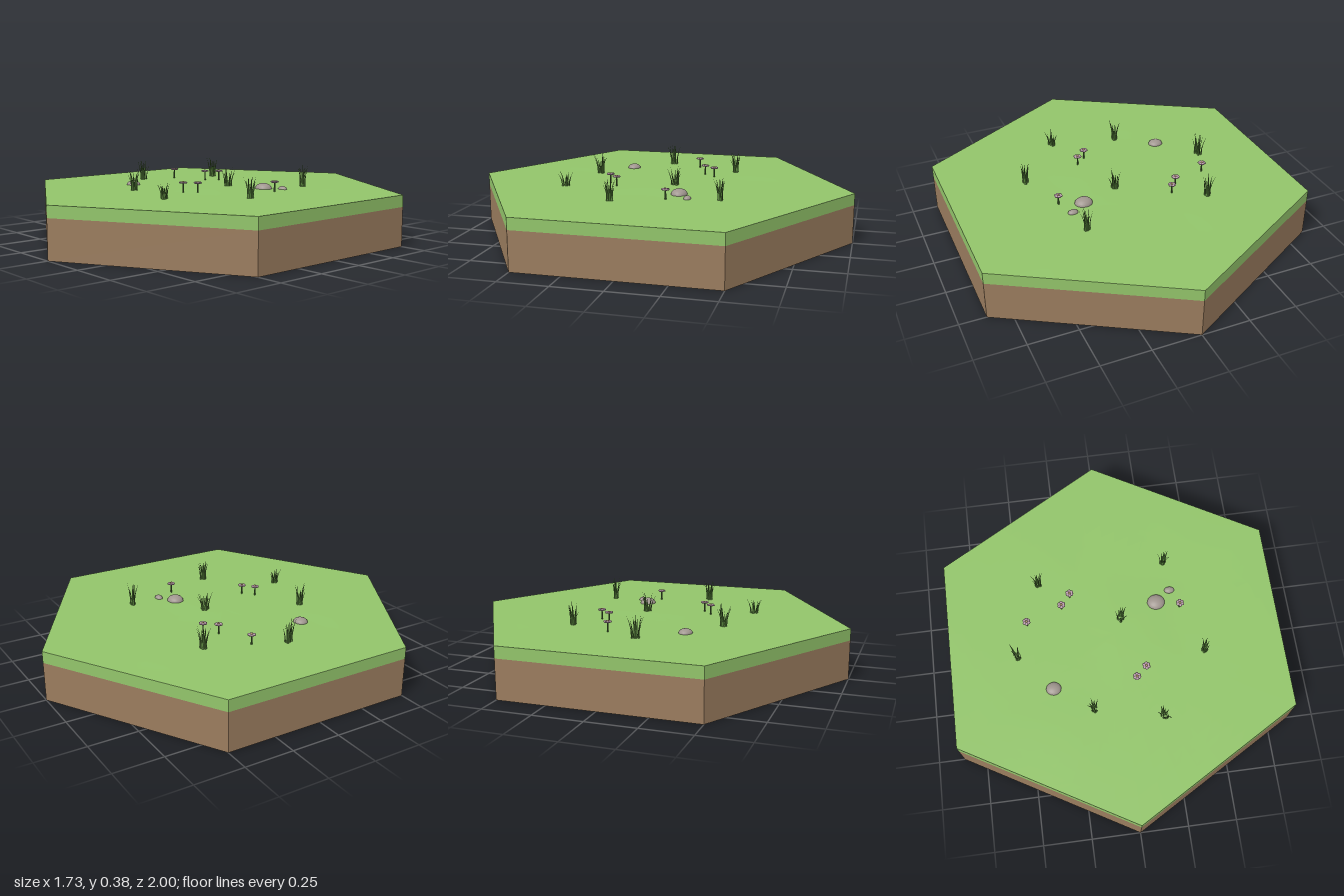
import * as THREE from 'three';

const mat = (name, color, extra = {}) =>
  Object.assign(new THREE.MeshStandardMaterial({ color, ...extra }), { name });

export function createModel() {
  const model = new THREE.Group();
  const grass = mat('grass green', 0x92c46a);
  const soil = mat('soil brown', 0x9a7c5e);
  const blade = mat('blade green', 0x5f8c42, { side: THREE.DoubleSide });
  const stemMat = mat('stem green', 0x4c7038);
  const petalMat = mat('petal mauve', 0xbb9cac);
  const centreMat = mat('flower centre', 0xb09060);
  const stone = mat('stone grey', 0xa0968f);
  const TOP = 0.26;

  let seed = 7;
  const rnd = () => (seed = (seed * 16807) % 2147483647) / 2147483647;

  const add = (parent, name, geometry, material, x = 0, y = 0, z = 0) => {
    const mesh = new THREE.Mesh(geometry, material);
    mesh.name = name;
    mesh.position.set(x, y, z);
    parent.add(mesh);
    return mesh;
  };
  const group = (name, x, y, z) => {
    const g = new THREE.Group();
    g.name = name;
    g.position.set(x, y, z);
    model.add(g);
    return g;
  };

  // Hexagonal slab: soil below, grass band above
  const hex = (h, open) => new THREE.CylinderGeometry(1, 1, h, 6, 1, open).toNonIndexed();
  const flat = (g) => { g.computeVertexNormals(); return g; };
  add(model, 'soilBlock', flat(hex(0.2, false)), soil, 0, 0.1, 0);
  add(model, 'grassBand', flat(hex(0.06, true)), grass, 0, 0.23, 0);

  // Grass surface: a disc stretched to the hexagon, with very faint swells
  const turf = new THREE.RingGeometry(0, 1, 48, 14).rotateX(-Math.PI / 2);
  const p = turf.attributes.position;
  for (let i = 0; i < p.count; i++) {
    const x = p.getX(i), z = p.getZ(i), r = Math.hypot(x, z);
    const a = (Math.atan2(x, z) + Math.PI * 2) % (Math.PI / 3);
    const k = Math.cos(Math.PI / 6) / Math.cos(a - Math.PI / 6);
    const swell = 0.0035 * Math.max(0, Math.sin(6 * x + 1) * Math.cos(5 * z)) * Math.max(0, 1 - r ** 4);
    p.setXYZ(i, x * k, swell, z * k);
  }
  turf.computeVertexNormals();
  add(model, 'grassSurface', turf, grass, 0, TOP, 0);

  // Grass tufts: [x, z, height]
  const tufts = [
    [-0.37, -0.33, 0.115], [0.31, -0.37, 0.12], [-0.52, 0.06, 0.12], [0.04, -0.08, 0.105],
    [0.45, 0.15, 0.12], [-0.16, 0.39, 0.115], [0.19, 0.47, 0.08],
  ];
  for (const [x, z, height] of tufts) {
    const tuft = group('grassTuft', x, TOP, z);
    for (let i = 0; i < 10; i++) {
      const h = height * (0.65 + 0.35 * rnd());
      const g = new THREE.ConeGeometry(0.0075, h, 4, 3, true).scale(1, 1, 0.5).translate(0, h / 2, 0);
      const q = g.attributes.position;
      const lean = 0.005 + 0.025 * rnd();
      for (let j = 0; j < q.count; j++) q.setZ(j, q.getZ(j) + lean * (q.getY(j) / h) ** 2);
      const turn = i * 2.4 + rnd() * 0.5, out = 0.004 + 0.015 * rnd();
      g.computeVertexNormals();
      add(tuft, 'grassBlade', g, blade, Math.sin(turn) * out, 0, Math.cos(turn) * out).rotation.y = turn;
    }
  }

  // Small flowers: thin stem with a flat ring of petals
  const stemGeo = new THREE.CylinderGeometry(0.0035, 0.0045, 0.05, 6);
  const petalGeo = new THREE.SphereGeometry(0.01, 8, 6).scale(1, 0.5, 1);
  const centreGeo = new THREE.SphereGeometry(0.007, 8, 6).scale(1, 0.7, 1);
  const flowers = [
    [-0.45, -0.11], [-0.26, -0.18], [-0.21, -0.24], [0.36, -0.11], [0.08, 0.26], [0.135, 0.21],
  ];
  for (const [x, z] of flowers) {
    const flower = group('flower', x, TOP, z);
    add(flower, 'stem', stemGeo, stemMat, 0, 0.025, 0);
    for (let i = 0; i < 6; i++) {
      const a = (i * Math.PI) / 3;
      add(flower, 'petal', petalGeo, petalMat, Math.sin(a) * 0.012, 0.051, Math.cos(a) * 0.012);
    }
    add(flower, 'flowerCentre', centreGeo, centreMat, 0, 0.053, 0);
  }

  // Pebbles: [x, z, half width, height, half depth]
  const pebbles = [
    [0.24, -0.15, 0.047, 0.03, 0.042], [0.32, -0.21, 0.027, 0.016, 0.019], [-0.35, 0.255, 0.039, 0.022, 0.035],
  ];
  for (const [x, z, w, h, d] of pebbles) {
    add(model, 'pebble', new THREE.SphereGeometry(1, 20, 12), stone, x, TOP, z).scale.set(w, h, d);
  }

  return model;
}
